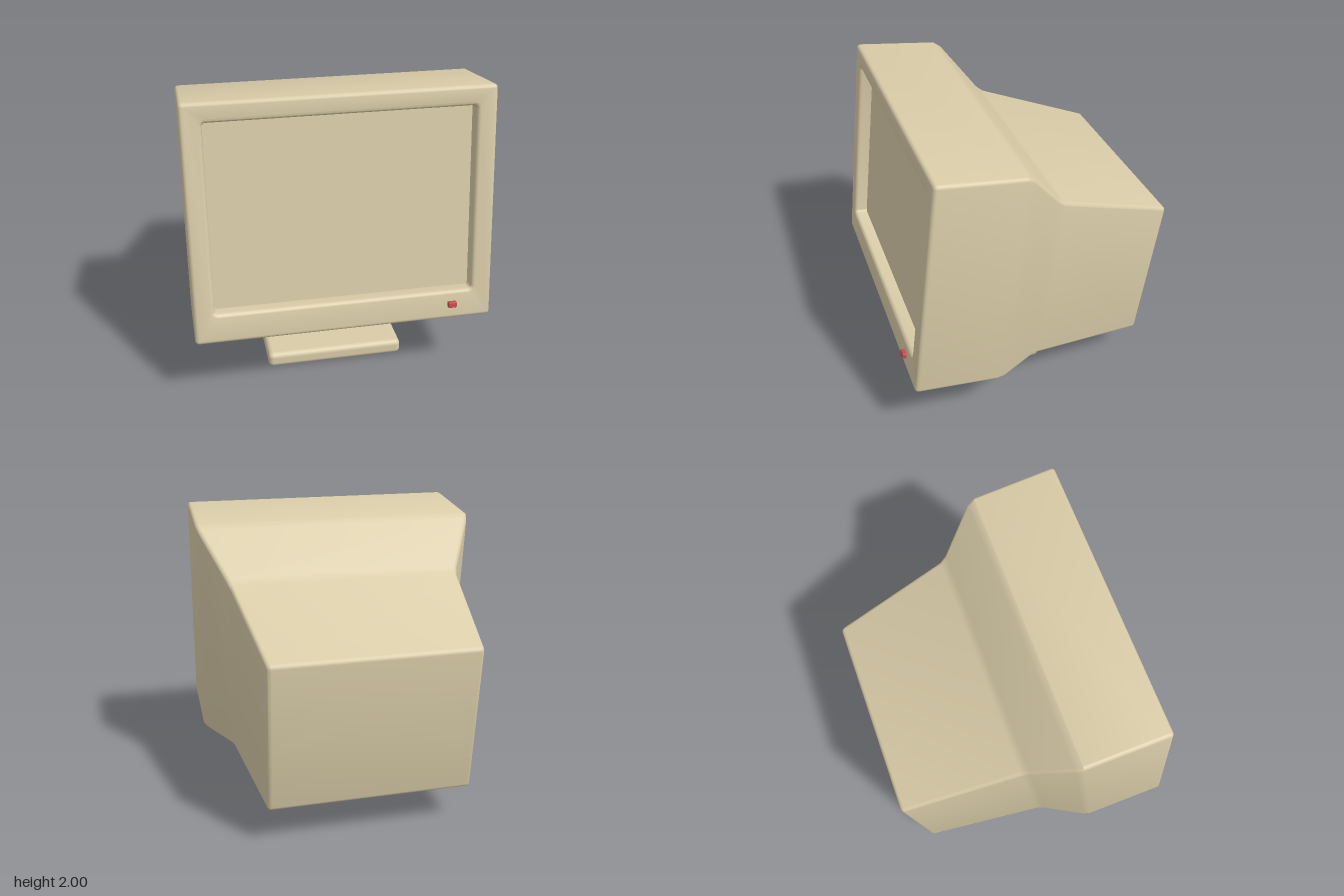
import * as THREE from 'three';
import { toCreasedNormals } from 'three/addons/utils/BufferGeometryUtils.js';
import { RoundedBoxGeometry } from 'three/addons/geometries/RoundedBoxGeometry.js';

const CORNER_STEPS = 4;

// Points of a rounded rectangle, counter-clockwise
function ringPoints({ hw, y0, y1, r }) {
  const pts = [];
  const corners = [[hw - r, y0 + r, -0.5], [hw - r, y1 - r, 0], [-hw + r, y1 - r, 0.5], [-hw + r, y0 + r, 1]];
  for (const [cx, cy, start] of corners) {
    for (let i = 0; i <= CORNER_STEPS; i++) {
      const a = (start + 0.5 * i / CORNER_STEPS) * Math.PI;
      pts.push([cx + r * Math.cos(a), cy + r * Math.sin(a)]);
    }
  }
  return pts;
}

// Skin through rounded-rectangle rings, ordered from high z to low z
function loft(rings) {
  const n = 4 * (CORNER_STEPS + 1);
  const pos = [], index = [];
  for (const ring of rings) for (const [x, y] of ringPoints(ring)) pos.push(x, y, ring.z);
  for (let i = 0; i < rings.length - 1; i++) {
    for (let j = 0; j < n; j++) {
      const a = i * n + j, b = i * n + (j + 1) % n;
      index.push(a, a + n, b, b, a + n, b + n);
    }
  }
  const geo = new THREE.BufferGeometry();
  geo.setAttribute('position', new THREE.Float32BufferAttribute(pos, 3));
  geo.setIndex(index);
  return toCreasedNormals(geo, 0.5);
}

export function createModel() {
  const model = new THREE.Group();
  const tan = new THREE.MeshStandardMaterial({ color: 0xd9cca8 });
  const red = new THREE.MeshStandardMaterial({ color: 0xc84b4b });
  const add = (parent, name, geo, mat = tan) => {
    const mesh = new THREE.Mesh(geo, mat);
    mesh.name = name;
    parent.add(mesh);
    return mesh;
  };

  // Tilted head: local origin is the lower front edge
  const head = new THREE.Group();
  head.name = 'monitorHead';
  head.position.set(0, 0.482, 0.907);
  head.rotation.x = -THREE.MathUtils.degToRad(7.2);
  model.add(head);

  const opening = { hw: 0.83, y0: 0.197, y1: 1.405, r: 0.02 };
  const grow = (o, d, z) => ({ hw: o.hw + d, y0: o.y0 - d, y1: o.y1 + d, r: o.r + d, z });
  const rings = [];

  // Recess wall and its rounded lip
  const lip = 0.025, edge = 0.025, steps = 4;
  rings.push(grow(opening, 0, -0.095));
  for (let i = 0; i <= steps; i++) {
    const t = i / steps * Math.PI / 2;
    rings.push(grow(opening, lip * (1 - Math.cos(t)), -lip * (1 - Math.sin(t))));
  }

  // Outer shell: [z, half width, top]
  const stations = [[0, 0.96, 1.53], [-0.58, 0.96, 1.53], [-0.881, 0.785, 1.222], [-1.712, 0.68, 1.024]];
  const section = (z) => {
    let i = 0;
    while (i < 2 && z < stations[i + 1][0]) i++;
    const [a, b] = [stations[i], stations[i + 1]];
    const t = (z - a[0]) / (b[0] - a[0]);
    return { hw: a[1] + (b[1] - a[1]) * t, y0: 0, y1: a[2] + (b[2] - a[2]) * t, r: edge, z };
  };
  const back = stations[3][0];
  for (let i = 0; i <= steps; i++) { // front edge
    const t = i / steps * Math.PI / 2, z = -edge * (1 - Math.cos(t));
    rings.push(grow(section(z), -edge * (1 - Math.sin(t)), z));
  }
  for (const k of [1, 2]) { // softened shoulder creases
    for (const d of [0.025, -0.025]) rings.push(section(stations[k][0] + d));
  }
  for (let i = 0; i <= steps; i++) { // back edge
    const t = i / steps * Math.PI / 2, z = back + edge * (1 - Math.sin(t));
    rings.push(grow(section(z), -edge * (1 - Math.cos(t)), z));
  }
  rings.push({ hw: 0, y0: 0.51, y1: 0.51, r: 0, z: back }); // back panel
  add(head, 'housing', loft(rings));

  // Flat screen at the bottom of the recess
  const screenShape = new THREE.Shape(ringPoints(opening).map(([x, y]) => new THREE.Vector2(x, y)));
  add(head, 'screen', new THREE.ShapeGeometry(screenShape)).position.z = -0.09;

  // Power button
  add(head, 'powerButton', new RoundedBoxGeometry(0.056, 0.038, 0.06, 2, 0.006), red)
    .position.set(0.697, 0.105, -0.003);

  // Foot
  add(model, 'base', new RoundedBoxGeometry(0.93, 0.105, 0.71, 4, 0.035)).position.set(0, 0.0525, 0.215);

  // Neck, flaring into the foot through a small fillet; ring z is height
  const neck = [{ hw: 0.105, y0: -0.285, y1: -0.108, r: 0.02, z: 0.46 }];
  const foot = { hw: 0.108, y0: -0.292, y1: -0.114, r: 0.02 }, fillet = 0.025;
  for (let i = 0; i <= steps; i++) {
    const t = i / steps * Math.PI / 2;
    neck.push(grow(foot, fillet * (1 - Math.cos(t)), 0.103 + fillet * (1 - Math.sin(t))));
  }
  add(model, 'neck', loft(neck).rotateX(-Math.PI / 2));

  return model;
}
